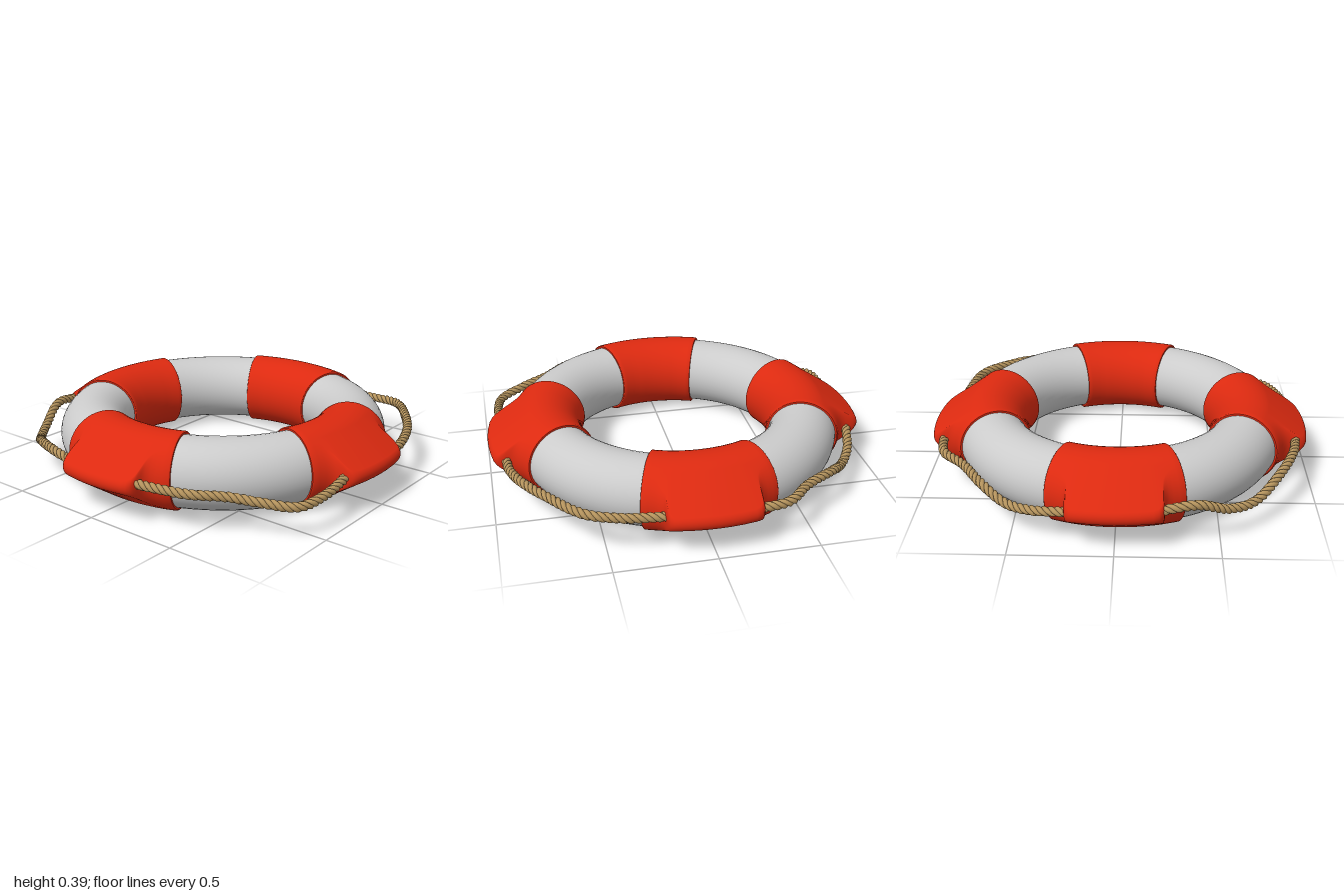
import * as THREE from 'three';

const RING = 0.692, Y = 0.195;          // ring radius and centre height
const TUBE = 0.178, SLEEVE = 0.193;     // float and sleeve cross-section radii
const LIP = 0.045, LIP_AT = 0.955;      // rounded outer lip that holds the rope

const grey = new THREE.MeshStandardMaterial({ color: 0xcccccc });
const red = new THREE.MeshStandardMaterial({ color: 0xdd2a10 });
const tan = new THREE.MeshStandardMaterial({ color: 0xb8965f });

// Half of the sleeve, from its end to its middle: [degrees, lip amount, radius]
const HALF = [
  [22.5, 0, 0.165], [22.5, 0, 0.187], [22.5, 0, 0.187], [22.1, 0], [20, 0.02], [18, 0.06],
  [16.5, 0.13], [15.3, 0.25], [14.6, 0.42], [14.2, 0.6], [13.7, 0.78], [13, 0.9],
  [12, 0.97], [10.5, 1], [7, 1], [3.5, 1],
];

// Sleeve: round section whose outer side is drawn out to a tapered lip
function sleeveGeometry() {
  const rows = [
    ...HALF.map(([d, f, r]) => [-d, f, r]),
    [0, 1],
    ...HALF.slice().reverse(),
  ];
  const cols = 56, pos = [], index = [];
  const taper = Math.acos((SLEEVE - LIP) / (LIP_AT - RING));
  rows.forEach(([deg, f, r = SLEEVE], i) => {
    const phi = THREE.MathUtils.degToRad(deg);
    for (let j = 0; j < cols; j++) {
      const t = (j / cols) * Math.PI * 2 - Math.PI;
      const k = Math.abs(t) < taper ? f : 0;
      const radius = THREE.MathUtils.lerp(r, LIP, k);
      const out = THREE.MathUtils.lerp(RING, LIP_AT, k) + radius * Math.cos(t);
      pos.push(out * Math.sin(phi), Y + radius * Math.sin(t), out * Math.cos(phi));
      if (i < rows.length - 1) {
        const n = (j + 1) % cols;
        const a = i * cols + j, b = a + cols, c = (i + 1) * cols + n, d = i * cols + n;
        index.push(a, b, c, a, c, d);
      }
    }
  });
  const geo = new THREE.BufferGeometry();
  geo.setAttribute('position', new THREE.Float32BufferAttribute(pos, 3));
  geo.setIndex(index);
  geo.computeVertexNormals();
  return geo;
}

// Rope: three strands twisted round a path
function rope(points) {
  const group = new THREE.Group();
  const path = new THREE.CatmullRomCurve3(points.map((p) => new THREE.Vector3(...p)));
  const steps = 150, turns = path.getLength() / 0.1;
  const { normals, binormals } = path.computeFrenetFrames(steps);
  for (let s = 0; s < 3; s++) {
    const strand = [];
    for (let i = 0; i <= steps; i++) {
      const a = (i / steps) * turns * Math.PI * 2 + (s * Math.PI * 2) / 3;
      strand.push(path.getPointAt(i / steps)
        .addScaledVector(normals[i], 0.0125 * Math.cos(a))
        .addScaledVector(binormals[i], 0.0125 * Math.sin(a)));
    }
    const curve = new THREE.CatmullRomCurve3(strand);
    const mesh = new THREE.Mesh(new THREE.TubeGeometry(curve, 220, 0.0125, 7), tan);
    mesh.name = 'ropeStrand';
    group.add(mesh);
  }
  return group;
}

// Slack rope paths, each running from one sleeve lip to the next
const ROPES = {
  ropeBackRight: [
    [-0.18, 0.2, -0.925], [-0.37, 0.2, -0.89], [-0.5, 0.2, -0.77], [-0.66, 0.19, -0.66],
    [-0.77, 0.145, -0.53], [-0.85, 0.155, -0.4], [-0.92, 0.19, -0.18],
  ],
  ropeBackLeft: [
    [0.18, 0.2, -0.9], [0.43, 0.21, -0.88], [0.6, 0.225, -0.83], [0.75, 0.23, -0.66],
    [0.86, 0.22, -0.48], [0.91, 0.2, -0.31], [0.915, 0.195, -0.18],
  ],
  ropeFrontLeft: [
    [0.915, 0.2, 0.18], [0.925, 0.17, 0.41], [0.89, 0.16, 0.57], [0.75, 0.178, 0.67],
    [0.62, 0.193, 0.74], [0.49, 0.205, 0.845], [0.35, 0.21, 0.895], [0.18, 0.21, 0.925],
  ],
  ropeFrontRight: [
    [-0.935, 0.205, 0.18], [-0.9, 0.225, 0.38], [-0.82, 0.16, 0.54], [-0.72, 0.145, 0.67],
    [-0.56, 0.2, 0.8], [-0.37, 0.225, 0.89], [-0.18, 0.215, 0.925],
  ],
};

export function createModel() {
  const model = new THREE.Group();
  model.name = 'lifeRing';

  // Float ring
  const float = new THREE.Mesh(new THREE.TorusGeometry(RING, TUBE, 40, 128), grey);
  float.name = 'floatRing';
  float.rotation.x = Math.PI / 2;
  float.position.y = Y;
  model.add(float);

  // Four sleeves
  const geo = sleeveGeometry();
  ['sleeveFront', 'sleeveLeft', 'sleeveBack', 'sleeveRight'].forEach((name, i) => {
    const sleeve = new THREE.Mesh(geo, red);
    sleeve.name = name;
    sleeve.rotation.y = (i * Math.PI) / 2;
    model.add(sleeve);
  });

  // Four grab ropes
  for (const [name, points] of Object.entries(ROPES)) {
    const r = rope(points);
    r.name = name;
    model.add(r);
  }
  return model;
}
